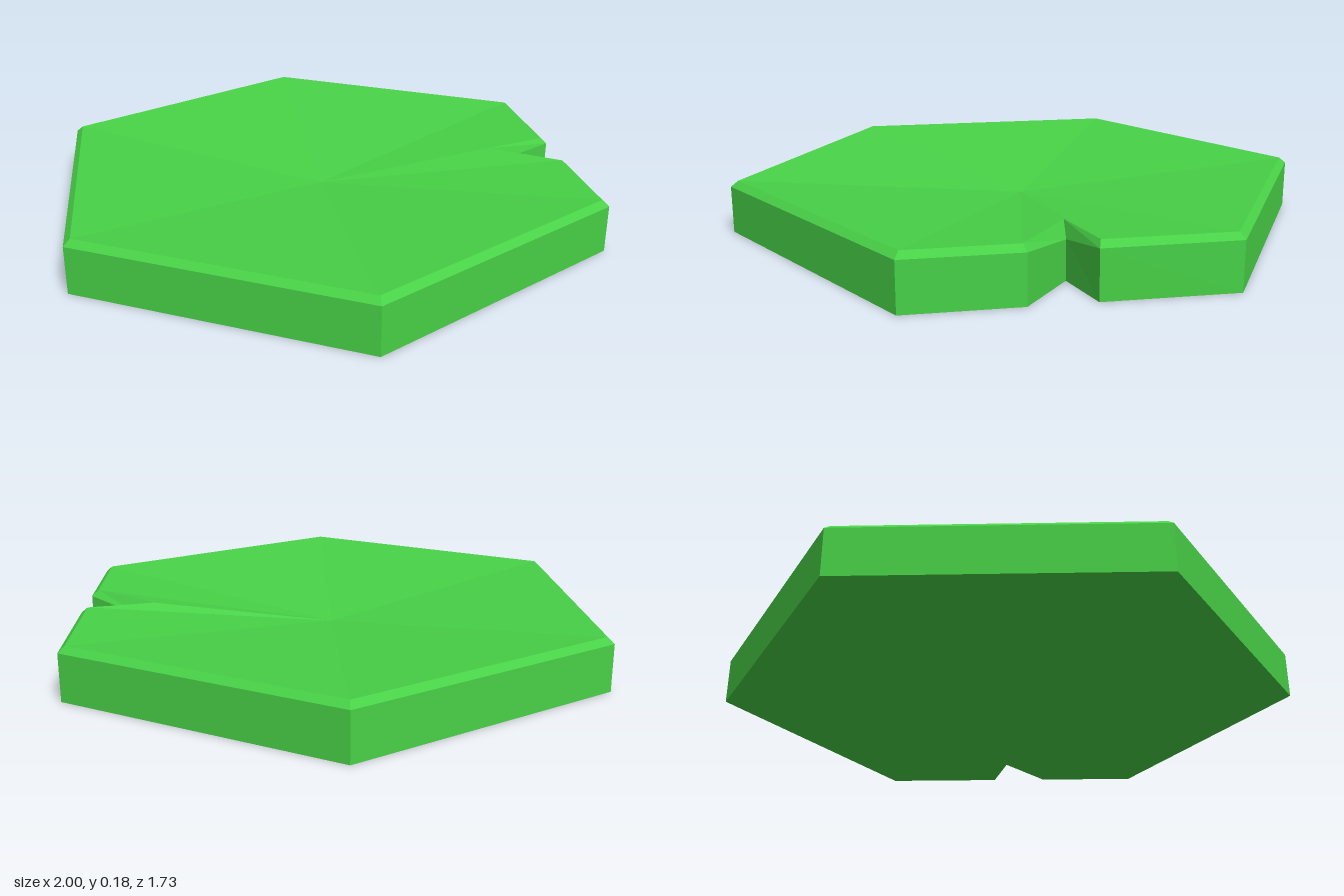
import * as THREE from 'three';

// Builds a flat-faced mesh from a list of triangles (arrays of three Vector3)
function facetMesh(name, triangles, material) {
  const geometry = new THREE.BufferGeometry().setFromPoints(triangles.flat());
  geometry.computeVertexNormals();
  const mesh = new THREE.Mesh(geometry, material);
  mesh.name = name;
  return mesh;
}

// Triangles joining a lower ring to an upper ring
function band(lower, upper) {
  return lower.flatMap((p, i) => {
    const j = (i + 1) % lower.length;
    return [[p, upper[i], upper[j]], [p, upper[j], lower[j]]];
  });
}

// Triangles from a centre point to a ring, facing up or down
function fan(centre, ring, up) {
  return ring.map((p, i) => {
    const q = ring[(i + 1) % ring.length];
    return up ? [centre, q, p] : [centre, p, q];
  });
}

// Hexagon ring with three notch points inserted in its front-right edge
function notchedRing(radius, y, notch) {
  const ring = [];
  for (let i = 0; i < 6; i++) {
    const a = (i * Math.PI) / 3;
    ring.push(new THREE.Vector3(radius * Math.cos(a), y, radius * Math.sin(a)));
    if (i === 0) ring.push(...notch.map((n) => new THREE.Vector3(n[0], n[2] ?? y, n[1])));
  }
  return ring;
}

export function createModel() {
  const green = new THREE.MeshStandardMaterial({ color: 0x48d147 });
  green.name = 'leaf green';

  const base = notchedRing(1, 0, [[0.786, 0.371], [0.595, 0.325], [0.682, 0.55]]);
  // The wall dips at the inner corner of the notch
  const shoulder = notchedRing(1, 0.16, [[0.786, 0.373], [0.595, 0.325, 0.13], [0.682, 0.55]]);
  const rim = notchedRing(0.975, 0.18, [[0.77, 0.355], [0.55, 0.295, 0.177], [0.658, 0.545]]);

  const group = new THREE.Group();
  group.name = 'lilyPad';
  group.add(
    facetMesh('underside', fan(new THREE.Vector3(0, 0, 0), base, false), green),
    facetMesh('sideWall', band(base, shoulder), green),
    facetMesh('bevelledRim', band(shoulder, rim), green),
    // Shallow dish sinking to the middle
    facetMesh('dishedTop', fan(new THREE.Vector3(0, 0.095, 0), rim, true), green),
  );
  return group;
}
